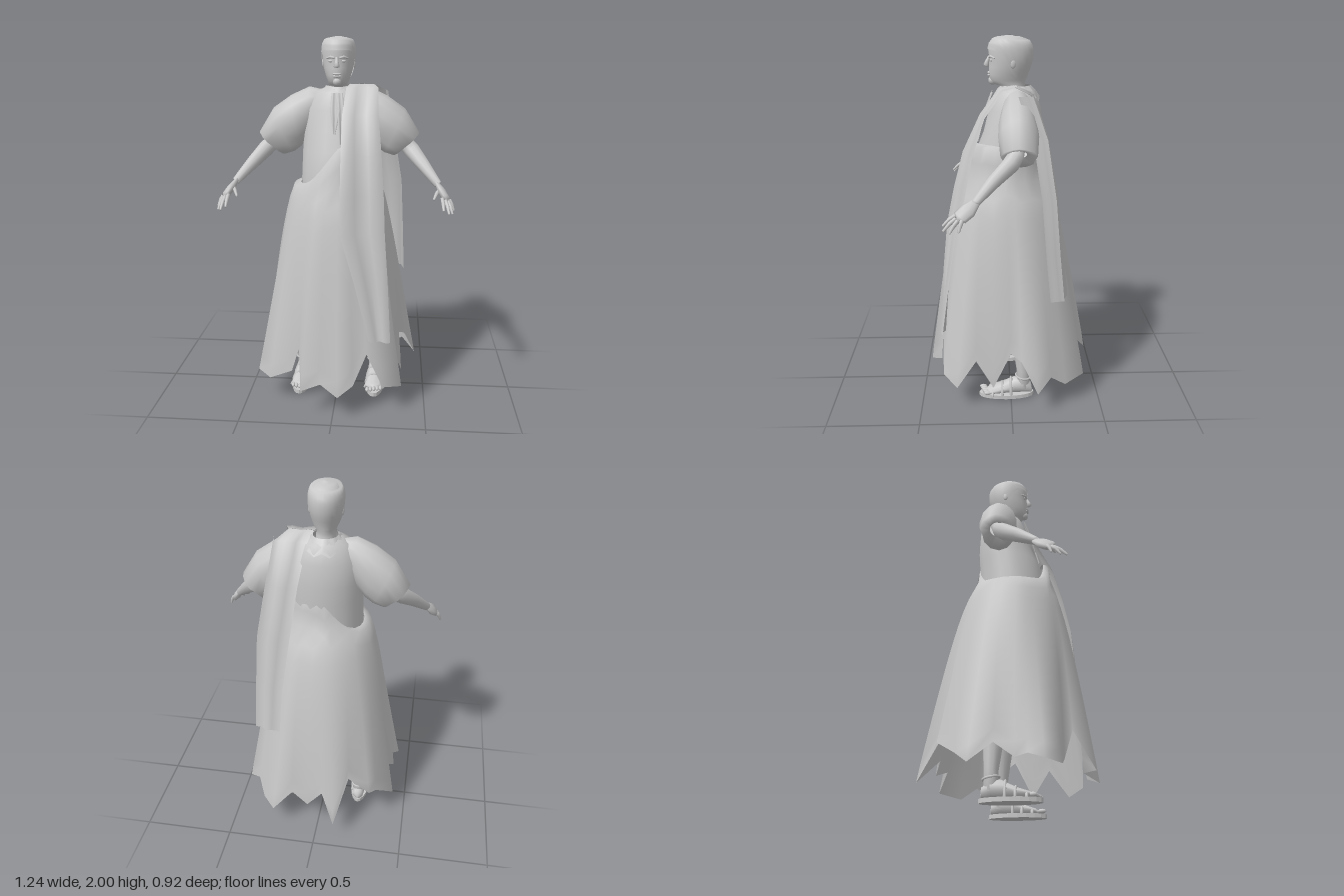
import * as THREE from 'three';

const grey = new THREE.MeshStandardMaterial({ color: 0xc8c8c8, side: THREE.DoubleSide });
grey.name = 'plain grey';
const { lerp, smoothstep, clamp } = THREE.MathUtils;

// Skin a surface over rows of [x, y, z] points; closed joins each row into a ring
function loft(name, rows, closed = true) {
  const n = rows[0].length, index = [];
  for (let i = 0; i < rows.length - 1; i++)
    for (let j = 0; j < (closed ? n : n - 1); j++) {
      const k = (j + 1) % n, a = i * n + j, b = i * n + k;
      index.push(a, a + n, b, b, a + n, b + n);
    }
  const g = new THREE.BufferGeometry();
  g.setAttribute('position', new THREE.Float32BufferAttribute(rows.flat(2), 3));
  g.setIndex(index);
  g.computeVertexNormals();
  return part(name, g);
}

function part(name, geometry, x = 0, y = 0, z = 0) {
  const m = new THREE.Mesh(geometry, grey);
  m.name = name;
  m.position.set(x, y, z);
  return m;
}

const around = (n, f) => Array.from({ length: n }, (_, j) => f(j / n * Math.PI * 2, j));

// Level ring from half width, front z and back z
const ring = (y, rx, zf, zb, n = 20) => around(n, a =>
  [Math.sin(a) * rx, y, (zf + zb) / 2 + Math.cos(a) * (zf - zb) / 2]);

// Rounded limb through [x, y, z, radius] points; flat thins it in one direction
function limb(name, pts, n = 8, flat = 1) {
  const v = pts.map(p => new THREE.Vector3(...p));
  const d = v[v.length - 1].clone().sub(v[0]).normalize();
  const ref = Math.abs(d.z) < 0.8 ? new THREE.Vector3(0, 0, 1) : new THREE.Vector3(0, 1, 0);
  const u = ref.sub(d.clone().multiplyScalar(ref.dot(d))).normalize();
  const w = d.clone().cross(u);
  const section = (p, r) => around(n, a => p.clone()
    .addScaledVector(u, Math.cos(a) * r).addScaledVector(w, Math.sin(a) * r * flat).toArray());
  const rows = v.map((p, i) => section(p, pts[i][3]));
  rows.unshift(section(v[0], 0.0005));
  rows.push(section(v[v.length - 1].clone().addScaledVector(d, pts[pts.length - 1][3] * 0.4), 0.0005));
  return loft(name, rows);
}

// Hanging cloth strip from rows of [y, x0, z0, x1, z1], with a soft fold
const strip = (name, rows, fold = 0.012) => loft(name, rows.map(([y, x0, z0, x1, z1]) =>
  Array.from({ length: 7 }, (_, j) => {
    const t = j / 6;
    return [lerp(x0, x1, t), y, lerp(z0, z1, t) + Math.sin(t * Math.PI * 3) * fold];
  })), false);

// Head profile: [y, half width, front z, back z]
const headProfile = [
  [1.66, 0.055, 0.03, -0.09], [1.735, 0.05, 0.04, -0.08], [1.75, 0.05, 0.085, -0.08],
  [1.77, 0.057, 0.105, -0.085], [1.8, 0.068, 0.11, -0.092], [1.84, 0.079, 0.11, -0.108],
  [1.88, 0.085, 0.106, -0.118], [1.92, 0.087, 0.112, -0.12], [1.955, 0.083, 0.104, -0.112],
  [1.98, 0.07, 0.085, -0.09], [1.992, 0.045, 0.05, -0.055], [1.996, 0.001, 0.001, -0.001]];

function headPoint(y, a, grow) {
  let i = 0;
  while (i < headProfile.length - 2 && headProfile[i + 1][0] < y) i++;
  const p = headProfile[i], q = headProfile[i + 1], t = clamp((y - p[0]) / (q[0] - p[0]), 0, 1);
  const [rx, zf, zb] = [1, 2, 3].map(k => lerp(p[k], q[k], t));
  return [Math.sin(a) * (rx + grow), y + grow * 0.6, (zf + zb) / 2 + Math.cos(a) * ((zf - zb) / 2 + grow)];
}

function makeHead() {
  const g = new THREE.Group();
  g.name = 'head';
  g.add(loft('face', headProfile.map(p => ring(...p, 24))));
  // Short hair, low at the nape and high on the brow
  g.add(loft('hair', Array.from({ length: 10 }, (_, i) => around(24, a => {
    const line = lerp(1.775, 1.925, smoothstep(Math.cos(a), -0.55, 0.75));
    return headPoint(lerp(line, 1.996, i / 9), a, 0.006);
  }))));
  g.add(limb('nose', [[0, 1.893, 0.106, 0.007], [0, 1.865, 0.118, 0.011], [0, 1.845, 0.123, 0.016]]));
  for (const y of [1.796, 1.808])
    g.add(part('lip', new THREE.SphereGeometry(1, 10, 6).scale(0.024, 0.007, 0.01), 0, y, 0.108));
  g.add(part('chin', new THREE.SphereGeometry(0.024, 10, 8), 0, 1.768, 0.09));
  for (const s of [-1, 1]) {
    g.add(part('eye', new THREE.SphereGeometry(1, 10, 6).scale(0.014, 0.007, 0.006), s * 0.033, 1.873, 0.097));
    g.add(limb('brow', [[s * 0.013, 1.889, 0.106, 0.006], [s * 0.035, 1.894, 0.1, 0.007], [s * 0.058, 1.886, 0.08, 0.004]]));
    g.add(part('ear', new THREE.SphereGeometry(1, 8, 8).scale(0.007, 0.024, 0.015), s * 0.084, 1.86, -0.015));
  }
  return g;
}

// Hem corners, counted round from the front towards the left
const hem = [
  [0.03, 0.14, 0.46], [0.11, 0.18, 0.4], [0.19, 0.36, 0.4], [0.27, 0.17, 0.38], [0.37, 0.14, 0.3],
  [0.34, 0.28, 0.2], [0.37, 0.14, 0.1], [0.36, 0.33, 0], [0.4, 0.3, -0.06], [0.45, 0.14, -0.14],
  [0.38, 0.2, -0.22], [0.33, 0.13, -0.3], [0.25, 0.15, -0.41], [0.15, 0.24, -0.36], [0.05, 0.2, -0.4],
  [-0.03, 0.26, -0.37], [-0.11, 0.13, -0.46], [-0.19, 0.36, -0.34], [-0.31, 0.28, -0.34], [-0.34, 0.22, -0.24],
  [-0.43, 0.15, -0.16], [-0.37, 0.26, -0.05], [-0.42, 0.17, 0.06], [-0.38, 0.2, 0.12], [-0.44, 0.16, 0.2],
  [-0.36, 0.15, 0.28], [-0.24, 0.2, 0.29], [-0.2, 0.36, 0.35], [-0.17, 0.16, 0.44], [-0.07, 0.17, 0.38]];

// Wrapped skirt: slanted top edge, flaring into deep folds at the hem
function makeSkirt() {
  const rows = [];
  for (let i = 0; i <= 14; i++) {
    const t = i / 14;
    rows.push(hem.map(([hx, hy, hz]) => {
      const a = Math.atan2(hx, hz), s = Math.sin(a), c = Math.cos(a);
      const top = 1.22 + 0.22 * smoothstep(s * 0.21, -0.2, 0.06);
      const y = lerp(top, hy, t), f = Math.pow(clamp((1.25 - y) / 1.1, 0, 1), 0.59);
      const tuck = Math.max(0, y - 1.25) * 0.1, wide = s > 0 ? 0.4 : 0.42;
      const x = s * lerp(0.215 - tuck, wide, f), z = lerp(0.03, 0, f) + c * lerp(0.215 - tuck, 0.43, f);
      const k = Math.pow(t, 1.8);
      return [x + (hx - s * wide) * k, y, z + (hz - c * 0.43) * k];
    }));
  }
  // Turn the top edge in against the bodice
  rows.unshift(rows[0].map(([x, y, z]) => [x * 0.85, y + 0.008, 0.02 + (z - 0.02) * 0.85]));
  return loft('skirt', rows);
}

function makeArm(s) {
  const g = new THREE.Group();
  g.name = s > 0 ? 'leftArm' : 'rightArm';
  const m = pts => pts.map(([x, ...r]) => [x * s, ...r]);
  // Puffed sleeve: [top x, top y, bottom x, bottom y, half depth]
  const cuts = [[0.09, 1.72, 0.14, 1.55, 0.06], [0.16, 1.735, 0.17, 1.46, 0.085], [0.26, 1.69, 0.21, 1.41, 0.1],
    [0.36, 1.62, 0.25, 1.38, 0.105], [0.44, 1.49, 0.3, 1.365, 0.095], [0.39, 1.47, 0.33, 1.42, 0.04]];
  g.add(loft('sleeve', cuts.map(([tx, ty, bx, by, d], i) => around(14, (a, j) => {
    const k = 0.5 + 0.5 * Math.cos(a), fold = i > 2 && i < 5 && j % 3 === 1 ? 0.86 : 1;
    return [s * lerp(bx, tx, k), lerp(by, ty, k), -0.035 + Math.sin(a) * d * fold];
  }))));
  g.add(limb('arm', m([[0.2, 1.6, -0.04, 0.06], [0.36, 1.44, -0.02, 0.042], [0.4, 1.4, 0.01, 0.045],
    [0.46, 1.335, 0.09, 0.036], [0.535, 1.25, 0.18, 0.022]]), 10));
  g.add(limb('palm', m([[0.53, 1.255, 0.175, 0.022], [0.555, 1.22, 0.215, 0.04], [0.575, 1.19, 0.255, 0.038]]), 8, 0.5));
  const fingers = [[0.556, 1.195, 0.275, 0.56, 1.145, 0.338], [0.573, 1.185, 0.272, 0.588, 1.128, 0.335],
    [0.587, 1.18, 0.262, 0.607, 1.122, 0.305], [0.593, 1.183, 0.242, 0.617, 1.13, 0.26],
    [0.542, 1.225, 0.215, 0.512, 1.19, 0.28]];
  for (const [x, y, z, ex, ey, ez] of fingers)
    g.add(limb('finger', m([[x, y, z, 0.011], [(x + ex) / 2, (y + ey) / 2 + 0.006, (z + ez) / 2, 0.01], [ex, ey, ez, 0.006]]), 6));
  return g;
}

function makeLeg(s) {
  const g = new THREE.Group(), x = s * 0.215;
  g.name = s > 0 ? 'leftLeg' : 'rightLeg';
  g.add(limb('shin', [[s * 0.18, 0.6, -0.04, 0.07], [s * 0.2, 0.36, -0.06, 0.058], [x, 0.16, -0.07, 0.037], [x, 0.05, -0.07, 0.038]], 10));
  // Sandal sole
  const sole = new THREE.Shape();
  sole.absellipse(0, 0, 0.055, 0.155, 0, Math.PI * 2);
  g.add(part('sole', new THREE.ExtrudeGeometry(sole, { depth: 0.022, bevelEnabled: false, curveSegments: 10 })
    .rotateX(-Math.PI / 2), x, 0, 0.025));
  // Foot: [z, half width, height]
  g.add(loft('foot', [[-0.122, 0.001, 0.03], [-0.115, 0.03, 0.07], [-0.07, 0.038, 0.11], [-0.02, 0.04, 0.105],
    [0.05, 0.046, 0.07], [0.12, 0.05, 0.045], [0.145, 0.001, 0.03]].map(([z, w, h]) =>
    around(10, a => [x + Math.sin(a) * w, 0.018 + (h - 0.01) * (0.5 + 0.5 * Math.cos(a)), z]))));
  for (let i = 0; i < 5; i++)
    g.add(part('toe', new THREE.SphereGeometry(1, 8, 6).scale(0.011, 0.012, 0.022),
      x + (i - 2) * 0.019, 0.033, 0.145 - s * (i - 2) * 0.006));
  // Sandal straps
  for (const [z, w, h] of [[0.105, 0.053, 0.05], [0.05, 0.05, 0.075], [0, 0.046, 0.1]])
    g.add(part('strap', new THREE.TorusGeometry(1, 0.14, 5, 14, Math.PI).scale(w, h - 0.015, 0.06), x, 0.018, z));
  g.add(part('ankleStrap', new THREE.TorusGeometry(0.042, 0.006, 5, 14).rotateX(1.4), x, 0.12, -0.07));
  return g;
}

export function createModel() {
  const model = new THREE.Group();
  model.name = 'robedFigure';
  model.add(makeHead());
  // Bodice and collar
  model.add(loft('bodice', [[1.735, 0.065, 0.045, -0.1], [1.71, 0.13, 0.075, -0.14], [1.62, 0.18, 0.11, -0.17],
    [1.5, 0.19, 0.14, -0.178], [1.4, 0.195, 0.18, -0.172], [1.25, 0.2, 0.215, -0.165], [1.1, 0.2, 0.215, -0.16]]
    .map(r => ring(...r))));
  model.add(loft('collar', [[1.742, 0.07, 0.045, -0.11], [1.725, 0.09, 0.065, -0.13], [1.685, 0.13, 0.09, -0.16]]
    .map((r, i) => ring(...r).map((p, j) => [p[0], p[1] - (j % 2) * 0.012 * i, p[2]]))));
  // Neck ties
  model.add(strip('neckTie', [[1.71, -0.03, 0.09, 0.01, 0.095], [1.62, -0.035, 0.125, 0.02, 0.13], [1.5, -0.015, 0.155, -0.005, 0.155]], 0.005));
  model.add(strip('neckTie', [[1.71, -0.01, 0.095, 0.03, 0.09], [1.62, 0.005, 0.13, 0.04, 0.125], [1.45, 0.02, 0.175, 0.035, 0.17]], 0.005));
  model.add(makeSkirt());
  // Stole over the left shoulder: front fall, and back fall with a turned side
  model.add(strip('stoleFront', [[1.75, 0.06, -0.03, 0.19, -0.03], [1.735, 0.045, 0.05, 0.215, 0.04],
    [1.6, 0.03, 0.15, 0.22, 0.135], [1.4, 0.03, 0.25, 0.24, 0.2], [1.2, 0.03, 0.305, 0.255, 0.24],
    [1, 0.035, 0.345, 0.265, 0.29], [0.75, 0.11, 0.365, 0.285, 0.33], [0.43, 0.19, 0.37, 0.305, 0.375]]));
  const back = [[1.75, 0.06, -0.03, 0.19, -0.03], [1.715, 0.08, -0.11, 0.25, -0.11],
    [1.5, 0.12, -0.185, 0.285, -0.185], [1.2, 0.16, -0.245, 0.335, -0.23], [0.9, 0.2, -0.28, 0.35, -0.255],
    [0.65, 0.215, -0.31, 0.36, -0.28]];
  model.add(strip('stoleBack', back, 0.008));
  model.add(strip('stoleBackSide', back.slice(1).map(([y, , , x, z]) => [y, x, z, x + 0.015, z + 0.075]), 0.004));
  for (const s of [-1, 1]) model.add(makeArm(s), makeLeg(s));
  return model;
}
